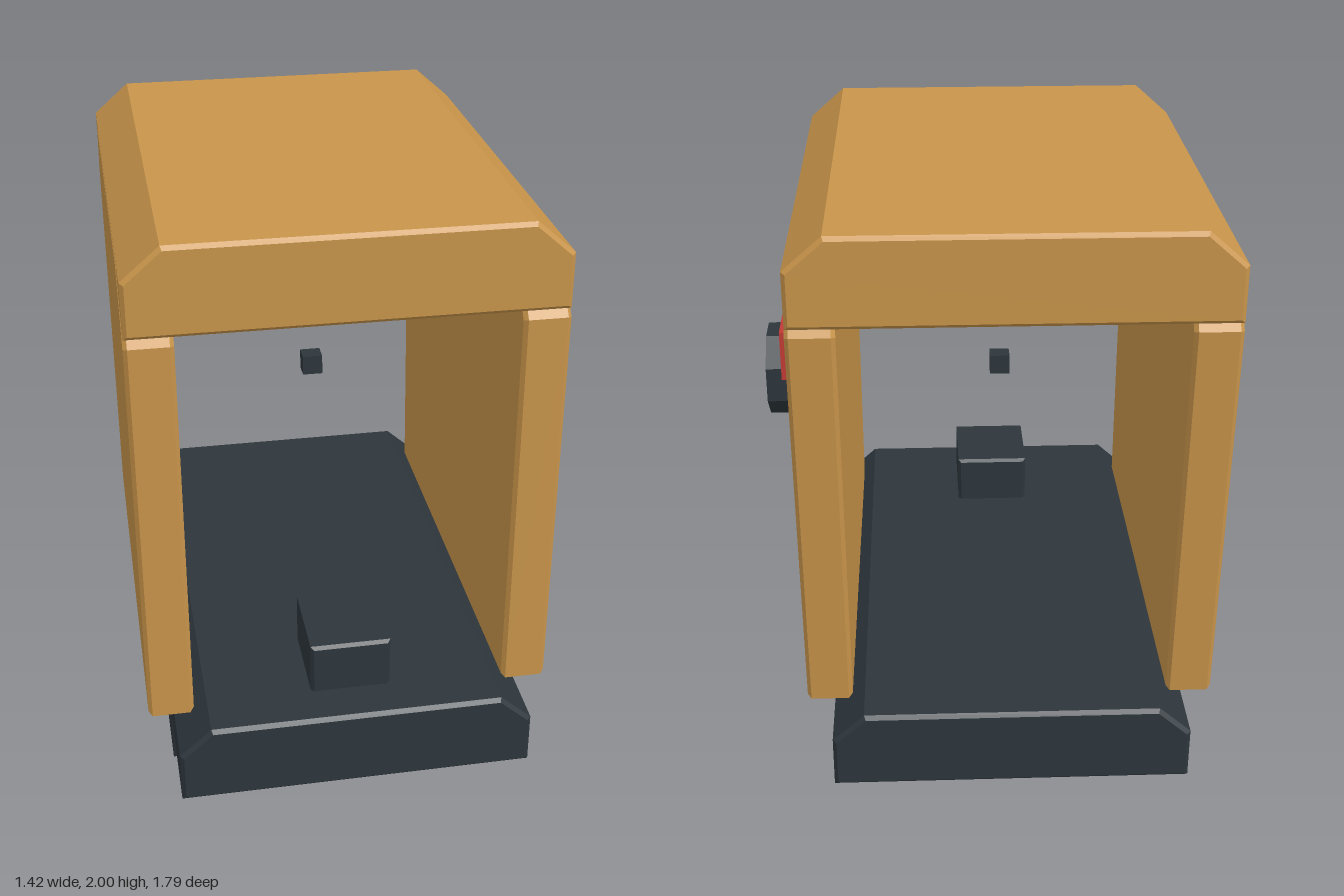
import * as THREE from 'three';

const ochre = new THREE.MeshStandardMaterial({ color: 0xc8944a });
ochre.name = 'ochre housing';
const slate = new THREE.MeshStandardMaterial({ color: 0x2d363c });
slate.name = 'dark slate';
const red = new THREE.MeshStandardMaterial({ color: 0xc23b36 });
red.name = 'signal red';

const MID = -0.073; // centre line of the housing and base

// Prism with small chamfers on every edge; the outline is the outer size.
function prism(points, from, to, bevel) {
  const shape = new THREE.Shape(points.map(([u, v]) => new THREE.Vector2(u, v)));
  const geometry = new THREE.ExtrudeGeometry(shape, {
    depth: to - from - 2 * bevel,
    bevelEnabled: bevel > 0,
    bevelThickness: bevel,
    bevelSize: bevel,
    bevelOffset: -bevel,
    bevelSegments: 1,
  });
  return geometry.translate(0, 0, from + bevel);
}

function chamferedBox(x0, x1, y0, y1, z0, z1, bevel) {
  return prism([[x0, y0], [x1, y0], [x1, y1], [x0, y1]], z0, z1, bevel);
}

// Slab along z with its two upper long edges cut off
function cutSlab(halfWidth, y0, y1, cutX, cutY, z0, z1) {
  return prism([
    [MID - halfWidth, y0], [MID + halfWidth, y0],
    [MID + halfWidth, y1 - cutY], [MID + halfWidth - cutX, y1],
    [MID - halfWidth + cutX, y1], [MID - halfWidth, y1 - cutY],
  ], z0, z1, 0.012);
}

// Faceted knob whose axis runs along x
function knob(radius, sides, turn, x0, x1, y, z) {
  const geometry = new THREE.CylinderGeometry(radius, radius, x1 - x0, sides, 1, false, turn)
    .toNonIndexed();
  geometry.computeVertexNormals();
  return geometry.rotateZ(-Math.PI / 2).translate((x0 + x1) / 2, y, z);
}

export function createModel() {
  const group = new THREE.Group();
  const add = (name, geometry, material) => {
    const mesh = new THREE.Mesh(geometry, material);
    mesh.name = name;
    group.add(mesh);
  };

  // Base plate and roof
  add('basePlate', cutSlab(0.558, 0.21, 0.47, 0.1, 0.09, -0.895, 0.895), slate);
  add('roof', cutSlab(0.638, 1.73, 2.0, 0.115, 0.1, -0.822, 0.745), ochre);

  // Side walls with a sloping back edge, and the feet below
  const wallOutline = [
    [-0.745, 0.435], [0.745, 0.435], [0.745, 1.705],
    [0.59, 1.9], [-0.665, 1.9], [-0.815, 1.705],
  ];
  for (const side of [-1, 1]) {
    const label = side > 0 ? 'left' : 'right';
    const wall = prism(wallOutline, -0.071, 0.071, 0.012)
      .rotateY(-Math.PI / 2)
      .translate(MID + side * 0.569, 0, 0);
    add(label + 'Wall', wall, ochre);

    const footX = MID + side * 0.495;
    add(label + 'Foot', chamferedBox(footX - 0.063, footX + 0.063, 0, 0.218, -0.445, 0.445, 0.01), slate);
  }

  // Block on the base and the small pin inside
  add('baseBlock', chamferedBox(-0.2, 0.055, 0.46, 0.637, 0.455, 0.752, 0.01), slate);
  add('innerPin', new THREE.BoxGeometry(0.065, 0.065, 0.06).translate(-0.073, 1.258, 0), slate);

  // Fittings on the left side
  add('sideKnob', knob(0.156, 8, Math.PI / 8, 0.55, 0.712, 1.18, 0.147), slate);
  add('footBolt', knob(0.096, 6, Math.PI / 6, 0.47, 0.56, 0.115, 0), slate);
  add('sideButton', new THREE.BoxGeometry(0.05, 0.15, 0.225).translate(0.575, 1.555, -0.485), red);

  return group;
}
